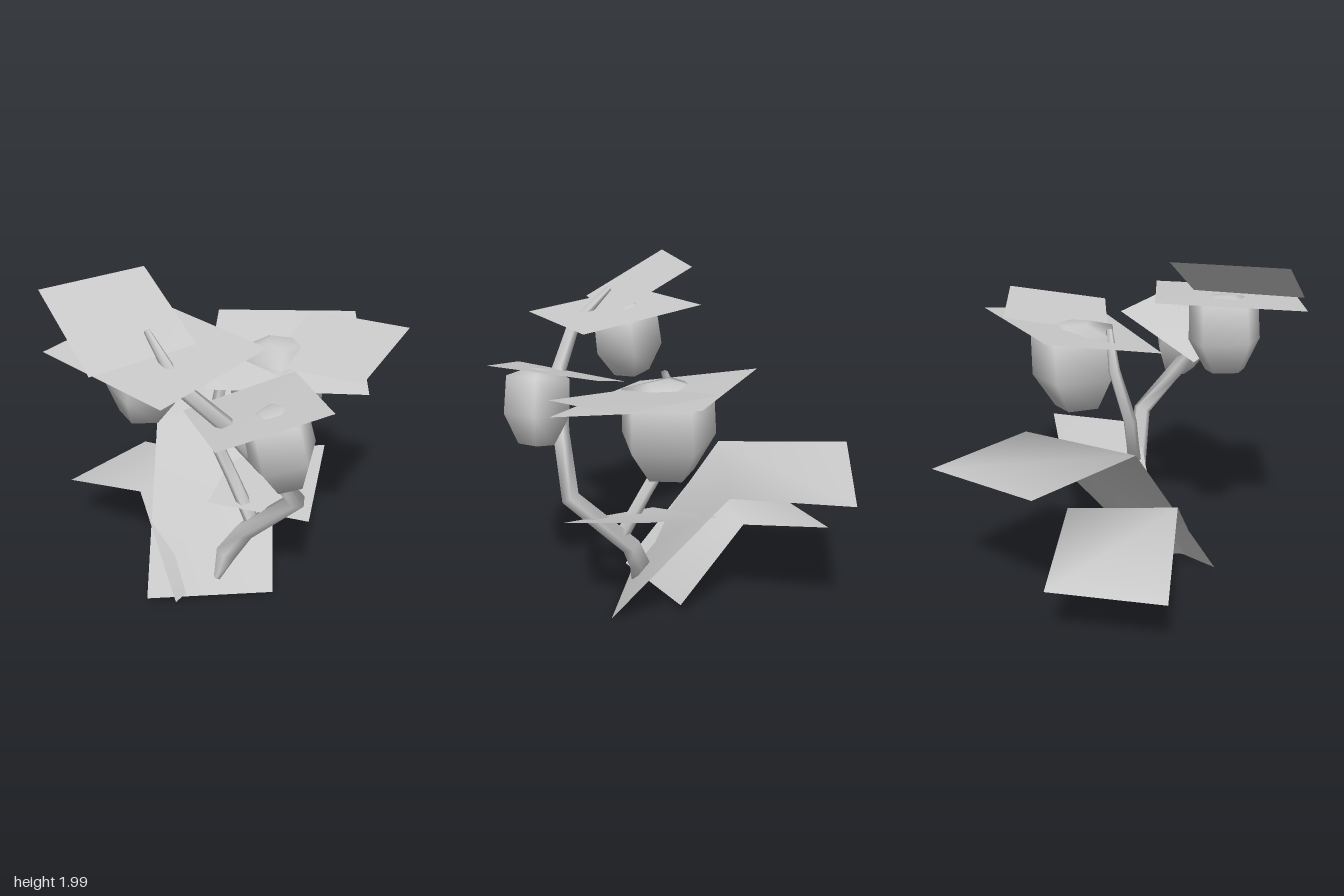
import * as THREE from 'three';

const material = new THREE.MeshStandardMaterial({ color: 0xcccccc });
const leafMaterial = new THREE.MeshStandardMaterial({ color: 0xcccccc, side: THREE.DoubleSide });

function build(positions, index) {
  const geometry = new THREE.BufferGeometry();
  geometry.setAttribute('position', new THREE.Float32BufferAttribute(positions, 3));
  geometry.setIndex(index);
  geometry.computeVertexNormals();
  return geometry;
}

// Leaf blade: rows of two points, folded along each inner row
function leaf(name, rows) {
  const index = [];
  for (let i = 0; i < rows.length - 1; i++) {
    const a = i * 2;
    index.push(a, a + 2, a + 1, a + 1, a + 2, a + 3);
  }
  const mesh = new THREE.Mesh(build(rows.flat(2), index), leafMaterial);
  mesh.name = name;
  return mesh;
}

// Tapered five-sided stem through points [x, y, z, radius]
function stem(name, path, sides = 5) {
  const points = path.map(([x, y, z]) => new THREE.Vector3(x, y, z));
  const last = points.length - 1;
  const positions = [], index = [];
  const ref = new THREE.Vector3(0, 0, 1);
  points.forEach((p, i) => {
    const before = points[Math.max(i - 1, 0)], after = points[Math.min(i + 1, last)];
    const t = after.clone().sub(before).normalize();
    const a = t.clone().cross(ref).normalize();
    const b = t.clone().cross(a);
    for (let k = 0; k < sides; k++) {
      const angle = (k / sides) * Math.PI * 2;
      const v = p.clone()
        .addScaledVector(a, Math.cos(angle) * path[i][3])
        .addScaledVector(b, Math.sin(angle) * path[i][3]);
      positions.push(v.x, v.y, v.z);
      if (i < last) {
        const n = (k + 1) % sides, r = i * sides, s = r + sides;
        index.push(r + k, r + n, s + n, r + k, s + n, s + k);
      }
    }
  });
  // end caps
  for (let k = 1; k < sides - 1; k++) {
    const e = last * sides;
    index.push(0, k + 1, k, e, e + k, e + k + 1);
  }
  const mesh = new THREE.Mesh(build(positions, index), material);
  mesh.name = name;
  return mesh;
}

// Rounded five-sided fruit along an axis from bottom to top
const fruitProfile = [[0, 0], [0.55, 0.04], [1, 0.42], [0.96, 0.9], [0.36, 1], [0, 1]];

function fruit(name, bottom, top, radius, turn) {
  const from = new THREE.Vector3(...bottom);
  const axis = new THREE.Vector3(...top).sub(from);
  const height = axis.length();
  const profile = fruitProfile.map(([r, h]) => new THREE.Vector2(r * radius, h * height));
  const geometry = new THREE.LatheGeometry(profile, 5, turn);
  const mesh = new THREE.Mesh(geometry, material);
  mesh.name = name;
  mesh.position.copy(from);
  mesh.quaternion.setFromUnitVectors(new THREE.Vector3(0, 1, 0), axis.normalize());
  return mesh;
}

export function createModel() {
  const model = new THREE.Group();
  model.name = 'fruitingBranch';

  // Main stem and side branch
  model.add(
    stem('mainStem', [
      [0.17, 0.1, 0.2, 0.02], [0.18, 0.25, 0.12, 0.065], [0.27, 0.42, 0.06, 0.06],
      [0.63, 0.8, 0.09, 0.055], [0.57, 1.1, 0.31, 0.05], [0.47, 1.41, 0.52, 0.045],
      [0.3, 1.62, 0.66, 0.04], [0.07, 1.83, 0.62, 0.017],
    ]),
    stem('sideBranch', [
      [0.32, 0.51, 0.06, 0.045], [0.17, 0.74, 0.05, 0.04], [0.01, 0.97, 0.04, 0.04],
      [0.01, 1.28, -0.05, 0.035], [0.12, 1.49, -0.085, 0.02],
    ]),
  );

  // Fruits
  model.add(
    fruit('upperFruit', [-0.04, 1.3, 0.57], [0.02, 1.73, 0.55], 0.208, 0.3),
    fruit('sideFruit', [0.72, 1.05, 0.31], [0.65, 1.48, 0.38], 0.19, 0.1),
    fruit('backFruit', [0.21, 0.97, -0.27], [0.24, 1.49, -0.3], 0.27, 0.6),
  );

  // Folded lower leaves
  model.add(
    leaf('largeFoldedLeaf', [
      [[-0.97, 0.965, -0.39], [-0.5, 0.89, -1]],
      [[-0.37, 0.935, 0.09], [0.01, 0.895, -0.57]],
      [[-0.07, 0.055, 0.56], [0.44, 0, 0]],
    ]),
    leaf('lowFoldedLeaf', [
      [[-0.965, 0.385, 0.28], [-0.9, 0.4, -0.36]],
      [[-0.31, 0.59, 0.325], [-0.287, 0.555, -0.3]],
      [[0.08, 0.05, 0.476], [0.07, 0.065, -0.18]],
    ]),
  );

  // Flat leaves
  model.add(
    leaf('middleLeaf', [
      [[0.06, 0.575, 0.15], [-0.08, 0.67, -0.335]],
      [[0.7, 0.67, 0.06], [0.46, 0.825, -0.465]],
    ]),
    leaf('topLeaf', [
      [[-0.43, 1.985, 0.84], [-0.275, 1.975, 0.25]],
      [[0.04, 1.715, 0.99], [0.19, 1.71, 0.39]],
    ]),
    leaf('upperFruitLeaf', [
      [[-0.3, 1.735, 0.96], [-0.295, 1.765, 0.18]],
      [[0.45, 1.667, 0.96], [0.47, 1.69, 0.175]],
    ]),
    leaf('sideFruitLeaf', [
      [[0.1, 1.31, 0.4], [0.5, 1.49, -0.04]],
      [[0.61, 1.42, 0.775], [0.97, 1.555, 0.33]],
    ]),
    leaf('backFruitLeaf', [
      [[0.1, 1.36, 0.22], [-0.28, 1.525, -0.39]],
      [[0.86, 1.4, -0.2], [0.38, 1.535, -0.85]],
    ]),
    leaf('backLeaf', [
      [[0.24, 1.43, -0.1], [0.18, 1.535, -0.7]],
      [[0.84, 1.475, -0.16], [0.78, 1.565, -0.76]],
    ]),
  );

  return model;
}
